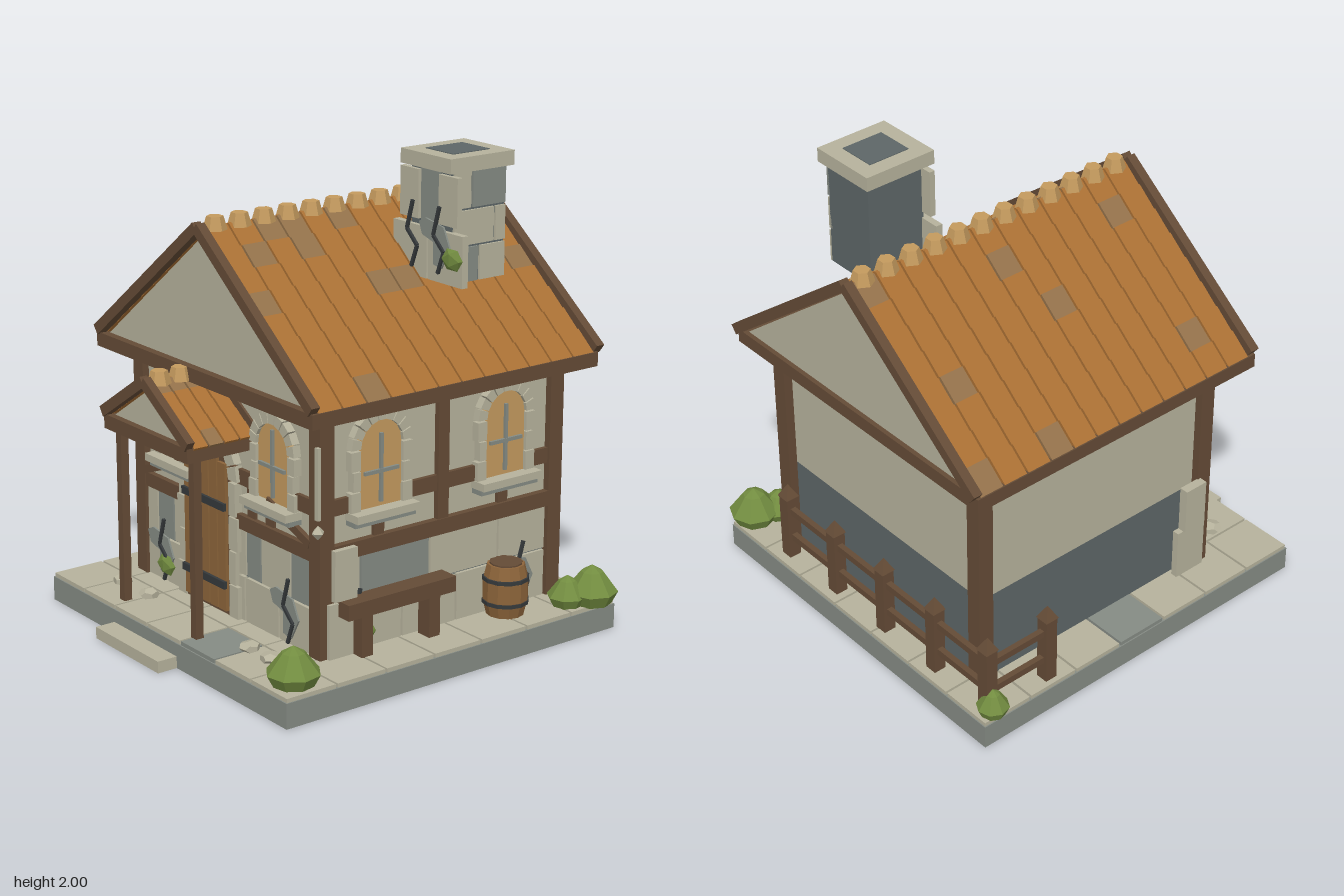
import * as THREE from 'three';

const mat = (name, color) => { const m = new THREE.MeshStandardMaterial({ color }); m.name = name; return m; };
const M = {
  stone: mat('pale stone', 0xb6b29c), grey: mat('grey stone', 0x858b84), slate: mat('dark slate', 0x5d6667),
  wood: mat('dark timber', 0x644b36), plank: mat('plank wood', 0x8c643a), tile: mat('roof tile', 0xaa7034),
  tileAlt: mat('weathered tile', 0x93714a), glow: mat('warm glass and ridge', 0xc49a5e),
  leaf: mat('leaf green', 0x728c40), iron: mat('iron', 0x35393b),
};

function add(parent, name, geo, material, x = 0, y = 0, z = 0) {
  const m = new THREE.Mesh(geo, material);
  m.name = name;
  m.position.set(x, y, z);
  parent.add(m);
  return m;
}
// box centred at x, z with its bottom and top given
const box = (p, name, material, w, y0, y1, d, x, z) =>
  add(p, name, new THREE.BoxGeometry(w, y1 - y0, d), material, x, (y0 + y1) / 2, z);
function group(parent, name, x = 0, y = 0, z = 0) {
  const g = new THREE.Group();
  g.name = name;
  g.position.set(x, y, z);
  parent.add(g);
  return g;
}
function flat(geo) {
  const g = geo.index ? geo.toNonIndexed() : geo;
  g.computeVertexNormals();
  return g;
}
function plate(pts, depth) {
  const s = new THREE.Shape(pts.map(([x, y]) => new THREE.Vector2(x, y)));
  return new THREE.ExtrudeGeometry(s, { depth, bevelEnabled: false });
}
// bar between two points in a vertical plane
function bar(p, name, material, [x0, y0], [x1, y1], z, thick, depth) {
  const m = add(p, name, new THREE.BoxGeometry(Math.hypot(x1 - x0, y1 - y0), thick, depth), material, (x0 + x1) / 2, (y0 + y1) / 2, z);
  m.rotation.z = Math.atan2(y1 - y0, x1 - x0);
}
let seed = 7;
const rnd = () => (seed = (seed * 16807) % 2147483647) / 2147483647;

// tiled gable roof with its ridge along z
function tiledRoof(root, name, { cx, half, y0, y1, z0, z1, rows, cols, caps, board }) {
  const g = group(root, name, cx);
  const rise = y1 - y0, len = Math.hypot(half, rise), ang = Math.atan2(rise, half);
  const step = len / rows, pitch = (z1 - z0) / cols;
  for (const s of [-1, 1]) {
    const slope = group(g, 'roofSlope', 0, y1 - 0.008, 0);
    slope.rotation.z = -s * ang;
    for (let r = 0; r < rows; r++) for (let c = 0; c < cols; c++) {
      const t = add(slope, 'roofTile', new THREE.BoxGeometry(step + 0.008, 0.016, pitch - 0.009),
        rnd() < 0.13 ? M.tileAlt : M.tile, s * (r + 0.5) * step, 0, z0 + (c + 0.5) * pitch);
      t.rotation.z = -s * 0.05;
    }
    for (const z of [z0 - board / 2, z1 + board / 2])
      bar(g, 'bargeBoard', M.wood, [0, y1 + 0.005], [s * (half + 0.005), y0 + 0.005], z, 0.045, board);
  }
  const cap = flat(new THREE.CylinderGeometry(0.034, 0.05, 0.055, 6).rotateY(Math.PI / 6));
  for (let i = 0; i < caps; i++)
    add(g, 'ridgeCap', cap, M.glow, 0, y1 + 0.012, z0 + (i + 0.5) * (z1 - z0) / caps);
  const gable = plate([[-half + 0.03, y0 - 0.01], [half - 0.03, y0 - 0.01], [0, y1 - 0.03]], 0.02);
  for (const z of [z0 + 0.005, z1 - 0.025]) add(g, 'gableWall', gable, M.stone, 0, 0, z);
  return g;
}

// wedge stones around a half circle
function archStones(p, u, yc, r0, r1, n, z, depth) {
  for (let i = 0; i < n; i++) {
    const a = i * Math.PI / n + 0.02, b = (i + 1) * Math.PI / n - 0.02;
    const at = (r, t) => [r * Math.cos(t), r * Math.sin(t)];
    add(p, 'archStone', plate([at(r0, a), at(r1, a), at(r1, b), at(r0, b)], depth), M.stone, u, yc, z);
  }
}
function archedShape(w, h) {
  const s = new THREE.Shape();
  s.moveTo(-w, 0); s.lineTo(w, 0); s.lineTo(w, h);
  s.absarc(0, h, w, 0, Math.PI, false);
  s.lineTo(-w, 0);
  return s;
}
function archWindow(p, u, y0, yc) {
  const g = group(p, 'archWindow', u);
  add(g, 'windowGlass', new THREE.ExtrudeGeometry(archedShape(0.107, yc - y0), { depth: 0.02, bevelEnabled: false, curveSegments: 10 }), M.glow, 0, y0, 0);
  archStones(g, 0, yc, 0.105, 0.15, 9, 0, 0.035);
  const h = (yc - y0) / 3;
  for (const s of [-1, 1]) for (let i = 0; i < 3; i++)
    box(g, 'jambStone', M.stone, i % 2 ? 0.035 : 0.047, y0 + i * h, y0 + (i + 1) * h - 0.005, 0.035, s * (i % 2 ? 0.123 : 0.128), 0.0175);
  box(g, 'windowSill', M.stone, 0.31, y0 - 0.032, y0, 0.09, 0, 0.035);
  box(g, 'sillBracket', M.grey, 0.3, y0 - 0.055, y0 - 0.032, 0.06, 0, 0.03);
  box(g, 'windowBar', M.grey, 0.014, y0 + 0.02, y0 + 0.3, 0.012, 0, 0.028);
  box(g, 'windowBar', M.grey, 0.17, y0 + 0.14, y0 + 0.155, 0.012, 0, 0.03);
}
// row of wall stones between the given edges
function stoneRow(p, edges, y0, y1, greyAt) {
  for (let i = 0; i + 1 < edges.length; i++)
    box(p, 'wallStone', greyAt.includes(i) ? M.grey : M.stone, edges[i + 1] - edges[i] - 0.01, y0, y1 - 0.01, 0.02, (edges[i] + edges[i + 1]) / 2, 0.005);
}
// zigzag crack, exposed patch and optional ivy on a wall face
function crack(p, u, y, z, patch, ivy) {
  const g = group(p, 'wallCrack', u, y, z);
  if (patch) add(g, 'brokenPatch', plate([[-0.12, 0.05], [-0.08, 0.07], [0.03, 0.05], [0.07, -0.03], [0.02, -0.12], [-0.03, -0.11], [-0.03, -0.02], [-0.1, 0]], 0.008), M.grey);
  const pts = [[0.01, 0.13], [-0.025, 0.01], [0.04, -0.05], [0.005, -0.14]];
  for (let i = 0; i < 3; i++) bar(g, 'crackLine', M.iron, pts[i], pts[i + 1], 0.012, 0.013, 0.012);
  if (ivy) add(g, 'ivy', flat(new THREE.IcosahedronGeometry(0.055, 0).scale(1.1, 0.9, 0.4)), M.leaf, ivy[0], ivy[1], 0.01);
}
function bush(p, x, z, r, h) {
  const prof = [[0.001, 0], [0.75, 0], [1, 0.32], [0.42, 0.83], [0.001, 1]].map(([a, b]) => new THREE.Vector2(a * r, b * h));
  add(p, 'bush', flat(new THREE.LatheGeometry(prof, 8)), M.leaf, x, 0.12, z).rotation.y = x * 3;
}

export function createModel() {
  const root = new THREE.Group();
  root.name = 'cottage';

  // paved base and step
  box(root, 'baseSlab', M.grey, 1.68, 0, 0.105, 1.69, -0.015, -0.035);
  for (let i = 0; i < 7; i++) for (let j = 0; j < 7; j++)
    box(root, 'pavingStone', (i === 0 && j === 3) || (i === 4 && j === 6) ? M.grey : M.stone, 0.23, 0.1, 0.122, 0.231, -0.735 + i * 0.24, -0.76 + j * 0.2415);
  box(root, 'doorStep', M.stone, 0.46, 0, 0.05, 0.1, -0.145, 0.85);

  // walls and corner posts
  box(root, 'lowerWall', M.slate, 1.23, 0.12, 0.53, 1.18, -0.035, -0.13);
  box(root, 'upperWall', M.stone, 1.23, 0.53, 1.12, 1.18, -0.035, -0.13);
  for (const x of [-0.65, 0.575]) for (const z of [0.455, -0.725])
    box(root, 'cornerPost', M.wood, 0.07, 0.12, 1.12, 0.07, x, z);
  for (const s of [-1, 1]) {
    box(root, 'cornerStone', M.stone, 0.04, 0.36, 0.57, 0.11, s < 0 ? -0.7 : 0.615, 0.38);
    box(root, 'cornerStone', M.stone, 0.03, 0.12, 0.35, 0.15, s < 0 ? -0.685 : 0.61, 0.38);
  }

  // front face
  const front = group(root, 'frontFace', -0.04, 0, 0.46);
  stoneRow(front, [-0.58, -0.44, -0.32, -0.26], 0.12, 0.32, []);
  stoneRow(front, [-0.58, -0.5, -0.38, -0.26], 0.32, 0.52, [1]);
  stoneRow(front, [0.05, 0.13, 0.36, 0.59], 0.12, 0.32, []);
  stoneRow(front, [0.05, 0.14, 0.24, 0.44, 0.59], 0.32, 0.52, [1, 3]);
  box(front, 'lowerBeam', M.wood, 1.29, 0.515, 0.575, 0.03, 0, 0.01);
  box(front, 'middleBeam', M.wood, 1.29, 0.7, 0.765, 0.02, 0, 0.008);
  for (const s of [-1, 1]) {
    box(front, 'stud', M.wood, 0.055, 0.57, 1.12, 0.02, s * 0.295, 0);
    box(front, 'stud', M.wood, 0.055, 0.57, 0.72, 0.02, s * 0.17, 0);
    bar(front, 'brace', M.wood, [s * 0.58, 0.585], [s * 0.3, 0.69], 0.022, 0.035, 0.02);
    archWindow(front, s * 0.34, 0.69, 0.91);
  }
  crack(front, 0.43, 0.27, 0.016, true);
  crack(front, -0.45, 0.27, 0.016, true, [0.02, -0.07]);

  // arched plank door
  const door = group(front, 'door', -0.11, 0, 0);
  add(door, 'doorBack', new THREE.ExtrudeGeometry(archedShape(0.155, 0.585), { depth: 0.015, bevelEnabled: false }), M.wood, 0, 0.12, 0.015);
  for (let i = 0; i < 5; i++) {
    const x = (i - 2) * 0.06;
    box(door, 'doorPlank', M.plank, 0.052, 0.14, 0.705 + Math.sqrt(0.155 ** 2 - (Math.abs(x) + 0.02) ** 2), 0.02, x, 0.035);
  }
  for (const y of [0.255, 0.59]) box(door, 'doorBand', M.iron, 0.3, y - 0.016, y + 0.016, 0.015, 0, 0.05);
  archStones(door, 0, 0.705, 0.155, 0.215, 9, 0, 0.035);
  for (const s of [-1, 1]) for (let i = 0; i < 4; i++)
    box(door, 'doorJamb', M.stone, i % 2 ? 0.045 : 0.06, 0.12 + i * 0.146, 0.26 + i * 0.146, 0.035, s * (i % 2 ? 0.178 : 0.185), 0.0175);

  // right face, turned towards +x
  const side = group(root, 'sideFace', 0.58, 0, -0.13);
  side.rotation.y = Math.PI / 2;
  stoneRow(side, [-0.55, -0.4, -0.2, 0.08, 0.33, 0.56], 0.12, 0.33, []);
  stoneRow(side, [-0.55, -0.41, -0.06, 0.3, 0.56], 0.33, 0.52, [1]);
  box(side, 'lowerBeam', M.wood, 1.23, 0.515, 0.58, 0.04, 0, 0.01);
  box(side, 'middleBeam', M.wood, 1.2, 0.7, 0.765, 0.02, 0, 0.008);
  box(side, 'stud', M.wood, 0.055, 0.57, 1.12, 0.04, 0, 0.005);
  for (const s of [-1, 1]) {
    box(side, 'stud', M.wood, 0.05, 0.57, 0.7, 0.02, s * 0.32, 0.008);
    archWindow(side, s * 0.32, 0.7, 0.95);
  }
  crack(side, 0.42, 0.26, 0.016, true);
  crack(side, -0.43, 0.25, 0.016, false, [0.03, -0.06]);

  // main roof
  box(root, 'eavesFrame', M.wood, 1.5, 1.11, 1.17, 1.45, -0.04, -0.125);
  tiledRoof(root, 'mainRoof', { cx: -0.04, half: 0.74, y0: 1.175, y1: 1.745, z0: -0.835, z1: 0.57, rows: 8, cols: 12, caps: 12, board: 0.04 });

  // porch
  box(root, 'porchFrame', M.wood, 0.6, 0.87, 0.93, 0.32, -0.145, 0.63);
  tiledRoof(root, 'porchRoof', { cx: -0.145, half: 0.3, y0: 0.935, y1: 1.13, z0: 0.47, z1: 0.765, rows: 5, cols: 4, caps: 3, board: 0.035 });
  for (const x of [-0.407, 0.117]) box(root, 'porchPost', M.wood, 0.036, 0.12, 0.88, 0.036, x, 0.73);

  // chimney
  const ch = group(root, 'chimney', 0.335, 0, -0.405);
  box(ch, 'chimneyShaft', M.slate, 0.25, 1.49, 1.95, 0.27, 0, -0.005);
  box(ch, 'chimneyCap', M.stone, 0.31, 1.94, 2, 0.33, 0, 0);
  box(ch, 'flueOpening', M.slate, 0.17, 1.995, 2.003, 0.19, 0, 0);
  for (const s of [-1, 1]) {
    box(ch, 'chimneyStone', M.stone, 0.115, 1.725, 1.925, 0.025, s * 0.12, 0.135);
    box(ch, 'chimneyStone', M.stone, 0.21, 1.49, 1.7, 0.03, s * 0.11, 0.135);
  }
  box(ch, 'chimneyStone', M.grey, 0.11, 1.71, 1.94, 0.02, 0, 0.13);
  [[1.49, 1.63, 0], [1.64, 1.78, 0.08], [1.79, 1.94, -0.04]].forEach(([a, b, c], i) => {
    box(ch, 'chimneyStone', i === 0 ? M.grey : M.stone, 0.02, a, b, 0.125 + c, 0.125, 0.125 - (0.125 + c) / 2);
    box(ch, 'chimneyStone', i === 2 ? M.grey : M.stone, 0.02, a, b, 0.13 - c, 0.125, -0.14 + (0.13 - c) / 2);
  });
  crack(ch, -0.09, 1.67, 0.15, false);
  crack(ch, 0.075, 1.67, 0.15, true, [0.09, -0.07]);

  // fence around the back corner
  const fence = group(root, 'fence');
  const tip = flat(new THREE.ConeGeometry(0.045, 0.06, 4).rotateY(Math.PI / 4));
  for (const [x, z] of [[-0.79, -0.81], [-0.47, -0.81], [-0.15, -0.81], [0.17, -0.81], [0.49, -0.81], [-0.8, -0.51]]) {
    box(fence, 'fencePost', M.wood, 0.055, 0.12, 0.425, 0.055, x, z);
    add(fence, 'postTip', tip, M.wood, x, 0.455, z);
  }
  for (const y of [0.21, 0.345]) {
    box(fence, 'fenceRail', M.wood, 1.32, y, y + 0.03, 0.025, -0.15, -0.81);
    box(fence, 'fenceRail', M.wood, 0.025, y, y + 0.03, 0.32, -0.8, -0.66);
  }

  // bench and barrel
  box(root, 'benchSeat', M.wood, 0.09, 0.295, 0.36, 0.54, 0.645, 0.14);
  for (const z of [0.31, -0.03]) box(root, 'benchLeg', M.wood, 0.07, 0.12, 0.3, 0.055, 0.645, z);
  const barrel = group(root, 'barrel', 0.655, 0.12, -0.425);
  const prof = [[0.001, 0], [0.078, 0], [0.095, 0.07], [0.095, 0.15], [0.078, 0.22], [0.001, 0.22]];
  add(barrel, 'barrelBody', flat(new THREE.LatheGeometry(prof.map(([a, b]) => new THREE.Vector2(a, b)), 12)), M.plank);
  add(barrel, 'barrelLid', new THREE.CylinderGeometry(0.068, 0.068, 0.01, 12), M.wood, 0, 0.221, 0);
  for (const y of [0.06, 0.16]) add(barrel, 'barrelHoop', flat(new THREE.CylinderGeometry(0.098, 0.098, 0.016, 12)), M.iron, 0, y, 0);

  // hanging ornament by the corner
  box(root, 'hangingRod', M.stone, 0.02, 0.72, 1.01, 0.016, 0.64, 0.522);
  add(root, 'hangingStone', flat(new THREE.OctahedronGeometry(0.03)), M.stone, 0.64, 0.67, 0.522);

  // bushes and rubble
  bush(root, 0.72, 0.7, 0.11, 0.16);
  bush(root, 0.78, -0.79, 0.11, 0.165);
  bush(root, 0.74, -0.69, 0.085, 0.13);
  bush(root, -0.82, -0.81, 0.068, 0.12);
  for (const [x, z] of [[-0.57, 0.64], [-0.37, 0.64], [0.35, 0.64], [0.49, 0.64]])
    add(root, 'rubble', flat(new THREE.DodecahedronGeometry(0.045).scale(1, 0.55, 1)), M.stone, x, 0.138, z).rotation.y = x * 5;
  return root;
}
